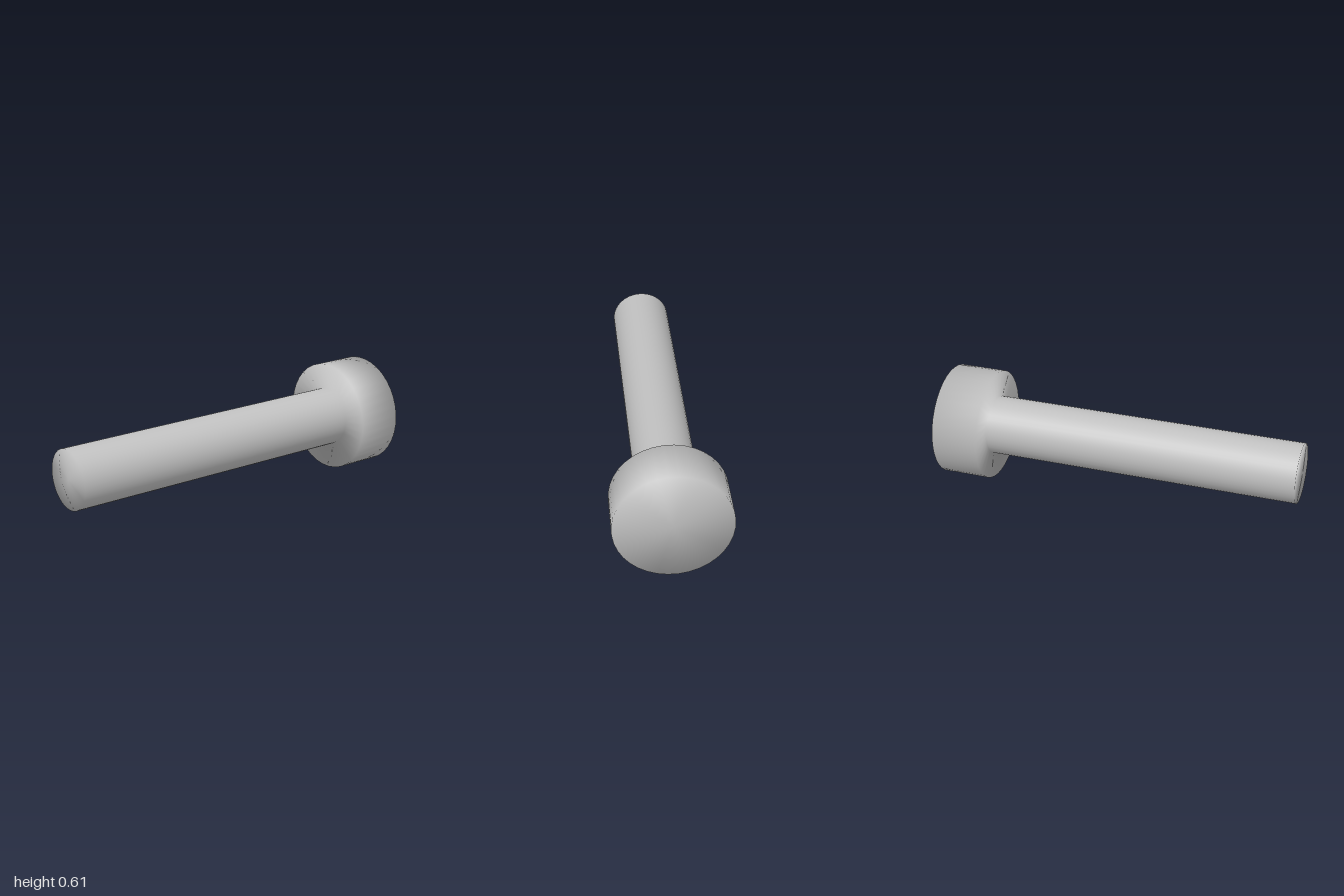
import * as THREE from 'three';

export function createModel() {
  const group = new THREE.Group();
  group.name = 'bolt';

  const steel = new THREE.MeshStandardMaterial({ color: 0xc0c0c0 });
  steel.name = 'steel grey';

  const headRadius = 0.306;
  const shankRadius = 0.163;
  const sides = 36;

  // Head and shank turned as one smooth-shaded profile along the axis
  const profile = [
    [0, -1],
    [headRadius, -1],
    [headRadius, -0.74],
    [shankRadius, -0.74],
    [shankRadius, 1],
    [0, 1],
  ].map(([r, h]) => new THREE.Vector2(r, h));

  const geometry = new THREE.LatheGeometry(profile, sides, Math.PI / sides);
  geometry.rotateX(Math.PI / 2); // lay the axis along z, head at the back

  const bolt = new THREE.Mesh(geometry, steel);
  bolt.name = 'headAndShank';
  bolt.position.y = 0.305;
  group.add(bolt);

  return group;
}
